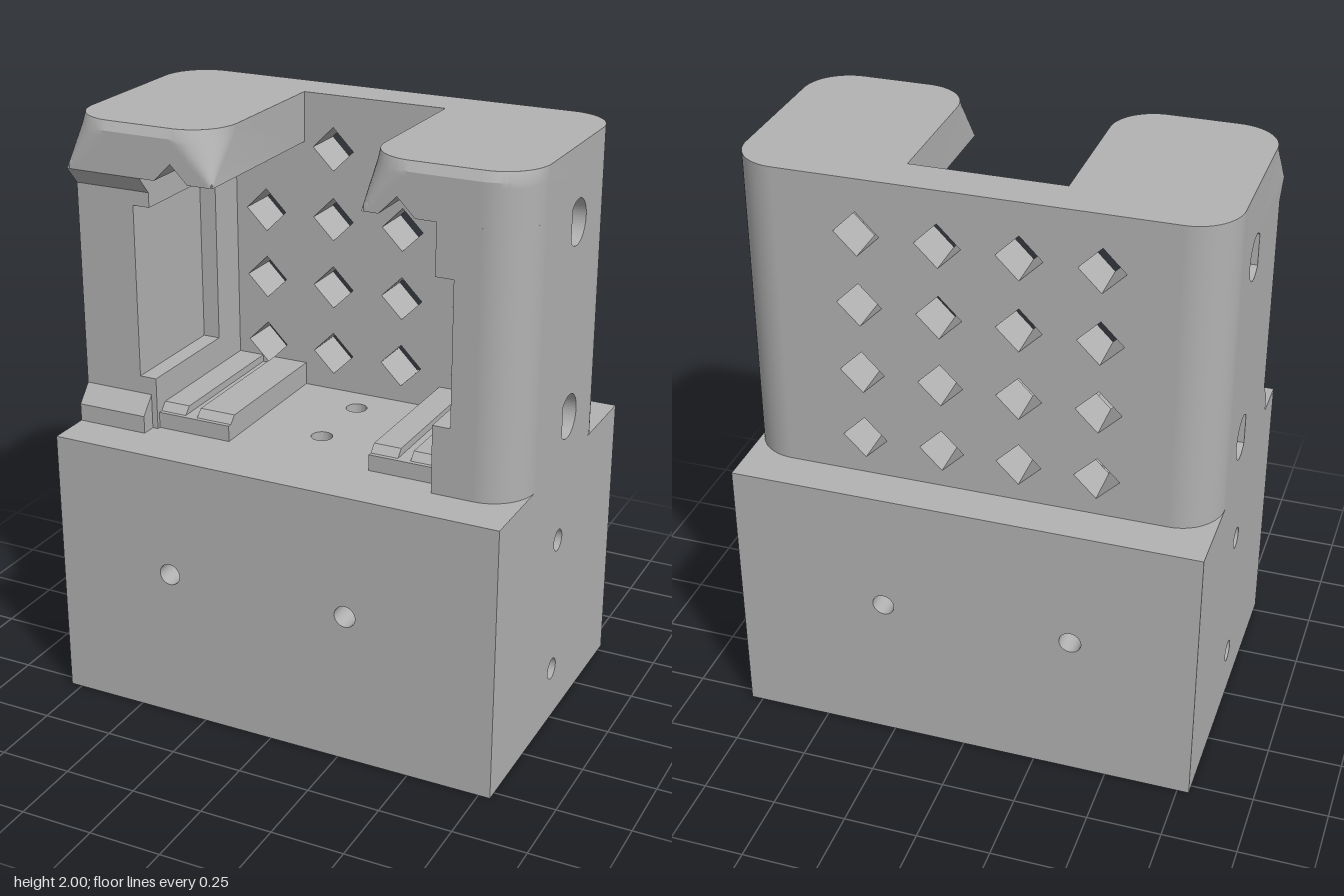
import * as THREE from 'three';
import { toCreasedNormals } from 'three/addons/utils/BufferGeometryUtils.js';

export function createModel() {
  const model = new THREE.Group();
  const grey = new THREE.MeshStandardMaterial({ color: 0xb2b2b2 });
  grey.name = 'grey';

  function add(name, geo) {
    const mesh = new THREE.Mesh(geo, grey);
    mesh.name = name;
    model.add(mesh);
  }
  function box(name, x0, x1, y0, y1, z0, z1) {
    const g = new THREE.BoxGeometry(x1 - x0, y1 - y0, z1 - z0);
    add(name, g.translate((x0 + x1) / 2, (y0 + y1) / 2, (z0 + z1) / 2));
  }
  const poly = (pts) => new THREE.Shape(pts.map((p) => new THREE.Vector2(p[0], p[1])));
  const rect = (a0, a1, b0, b1) => poly([[a0, b0], [a1, b0], [a1, b1], [a0, b1]]);
  const circle = (a, b, r) => new THREE.Path().absarc(a, b, r, 0, Math.PI * 2, true);
  const extrude = (shape, depth) =>
    new THREE.ExtrudeGeometry(shape, { depth, bevelEnabled: false, curveSegments: 20 });
  // shapes drawn in x-y, z-y and x-z
  const alongZ = (name, shape, z0, z1) => add(name, extrude(shape, z1 - z0).translate(0, 0, z0));
  const alongX = (name, shape, x0, x1) =>
    add(name, extrude(shape, x1 - x0).rotateY(-Math.PI / 2).translate(x1, 0, 0));
  const alongY = (name, shape, y0, y1) =>
    add(name, extrude(shape, y1 - y0).rotateX(Math.PI / 2).translate(0, y1, 0));

  // Base: hollow box, open below
  for (const z of [-0.535, 0.385]) {
    const wall = rect(-0.79, 0.79, 0, 0.87);
    for (const x of [-0.37, 0.275]) wall.holes.push(circle(x, 0.53, 0.037));
    alongZ('baseLongWall', wall, z, z + 0.15);
  }
  for (const [x0, x1, r0, r1] of [[-0.79, -0.61, -0.61, -0.57], [0.5, 0.79, 0.46, 0.5]]) {
    const wall = rect(-0.385, 0.385, 0, 0.87);
    for (const y of [0.19, 0.675]) wall.holes.push(circle(0, y, 0.037));
    alongX('baseEndWall', wall, x0, x1);
    box('cornerRib', r0, r1, 0, 0.87, -0.385, -0.24);
    box('cornerRib', r0, r1, 0, 0.87, 0.24, 0.385);
  }
  const deck = rect(-0.79, 0.79, -0.535, 0.535);
  for (const z of [-0.12, 0.145]) deck.holes.push(circle(0, z, 0.036));
  alongY('baseDeck', deck, 0.91, 0.95);
  box('baseCeiling', -0.79, 0.79, 0.87, 0.91, -0.535, 0.535);

  // Back wall with diamond perforations
  const back = rect(-0.64, 0.64, 0.95, 2);
  for (const x of [-0.405, -0.148, 0.11, 0.372])
    for (const y of [1.083, 1.327, 1.57, 1.815])
      back.holes.push(poly([[x - 0.075, y], [x, y + 0.075], [x + 0.075, y], [x, y - 0.075]]));
  alongZ('backWall', back, -0.39, -0.24);

  // Rounded vertical corners
  const corner = (x, z, y1, start) => add('roundedCorner',
    new THREE.CylinderGeometry(0.15, 0.15, y1 - 0.95, 16, 1, false, start, Math.PI / 2)
      .translate(x, (y1 + 0.95) / 2, z));
  corner(0.64, -0.24, 2, Math.PI / 2);
  corner(-0.64, -0.24, 2, Math.PI);
  corner(0.64, 0.235, 1.83, 0);

  // Side walls in layers, with counterbored teardrop holes and an inner pocket
  function teardrop(y, r) {
    const z = -0.04, a = Math.PI / 4;
    const p = new THREE.Path();
    p.moveTo(z + r * 1.36, y);
    p.absarc(z, y, r, a, Math.PI * 2 - a, false);
    p.closePath();
    return p;
  }
  const sides = [
    { s: 1, front: 0.385, inner: 0.5, pocket: 0.56, p0: 1.18, p1: 1.66 },
    { s: -1, front: 0.333, inner: 0.52, pocket: 0.58, p0: 1.13, p1: 1.72 },
  ];
  for (const { s, front, inner, pocket, p0, p1 } of sides) {
    const layer = (name, shape, a, b) => alongX(name, shape, Math.min(s * a, s * b), Math.max(s * a, s * b));
    for (const [a, b, r] of [[0.72, 0.79, 0.075], [0.62, 0.72, 0.036]]) {
      const plate = rect(-0.24, 0.235, 0.95, 1.83);
      for (const y of [1.1, 1.75]) plate.holes.push(teardrop(y, r));
      layer('sideWall', plate, a, b);
    }
    layer('sideWallCore', rect(-0.24, 0.235, 0.95, 1.83), pocket, 0.62);
    layer('pocketFrame', poly([[-0.24, 0.95], [front, 0.95], [front, p0], [-0.09, p0],
      [-0.09, p1], [front, p1], [front, 1.83], [-0.24, 1.83]]), inner, pocket);
  }
  box('frontPost', 0.56, 0.64, 0.95, 1.83, 0.235, 0.385);
  box('frontPost', -0.79, -0.58, 0.95, 1.83, 0.235, 0.333);

  // Sloped foot and brow on the right post
  alongX('foot', poly([[0.333, 0.95], [0.385, 0.95], [0.385, 1.01], [0.333, 1.07]]), -0.79, -0.54);
  alongX('browSlope', poly([[0.333, 1.77], [0.385, 1.83], [0.333, 1.83]]), -0.79, -0.52);

  // Floor rails, each with a groove
  for (const [x0, x1, g] of [[-0.53, -0.255, -0.405], [0.255, 0.51, 0.372]]) {
    box('railBase', x0, x1, 0.95, 1.005, -0.24, 0.32);
    const top = poly([[-0.24, 1.005], [0.305, 1.005], [0.28, 1.03], [-0.24, 1.03]]);
    alongX('railTop', top, x0, g - 0.022);
    alongX('railTop', top, g + 0.022, x1);
  }

  // Roof arms: z-y sections lofted along x. Front corners are rounded,
  // flaring to square below where asked; the soffit has a V groove at cx.
  function roofArm(name, x0, x1, cx, flare0, flare1) {
    const xs = [cx - 0.06, cx, cx + 0.06];
    for (let i = 0; i <= 36; i++) xs.push((x0 + x1) / 2 - (x1 - x0) / 2 * Math.cos(Math.PI * i / 36));
    xs.sort((a, b) => a - b);
    const setback = (d, r) => (d < r ? r - Math.sqrt(r * r - (r - d) * (r - d)) : 0);
    const radius = (y, flare) => flare ? 0.15 * THREE.MathUtils.clamp((y - 1.83) / 0.14, 0, 1) : 0.15;
    const pos = [], idx = [], n = 12;
    for (const x of xs) {
      const yb = 1.83 + Math.max(0, 0.06 - Math.abs(x - cx));
      pos.push(x, yb, -0.24);
      for (let k = 0; k < n - 2; k++) {
        const y = k === n - 3 ? 2 : yb + (1.97 - yb) * k / (n - 4);
        const front = y > 1.98 ? 0.367 : 0.385;
        const d0 = Math.max(0, x - x0), d1 = Math.max(0, x1 - x);
        pos.push(x, y, front - setback(d0, radius(y, flare0)) - setback(d1, radius(y, flare1)));
      }
      pos.push(x, 2, -0.24);
    }
    const last = (xs.length - 1) * n;
    for (let i = 0; i < last; i += n)
      for (let j = 0; j < n; j++) {
        const k = (j + 1) % n;
        idx.push(i + j, i + n + j, i + k, i + k, i + n + j, i + n + k);
      }
    for (let j = 1; j < n - 1; j++) idx.push(0, j, j + 1, last, last + j + 1, last + j);
    const g = new THREE.BufferGeometry();
    g.setAttribute('position', new THREE.Float32BufferAttribute(pos, 3));
    g.setIndex(idx);
    add(name, toCreasedNormals(g, 0.5));
  }
  roofArm('rightRoofArm', -0.79, -0.255, -0.405, true, true);
  roofArm('leftRoofArm', 0.255, 0.79, 0.372, true, false);

  return model;
}
